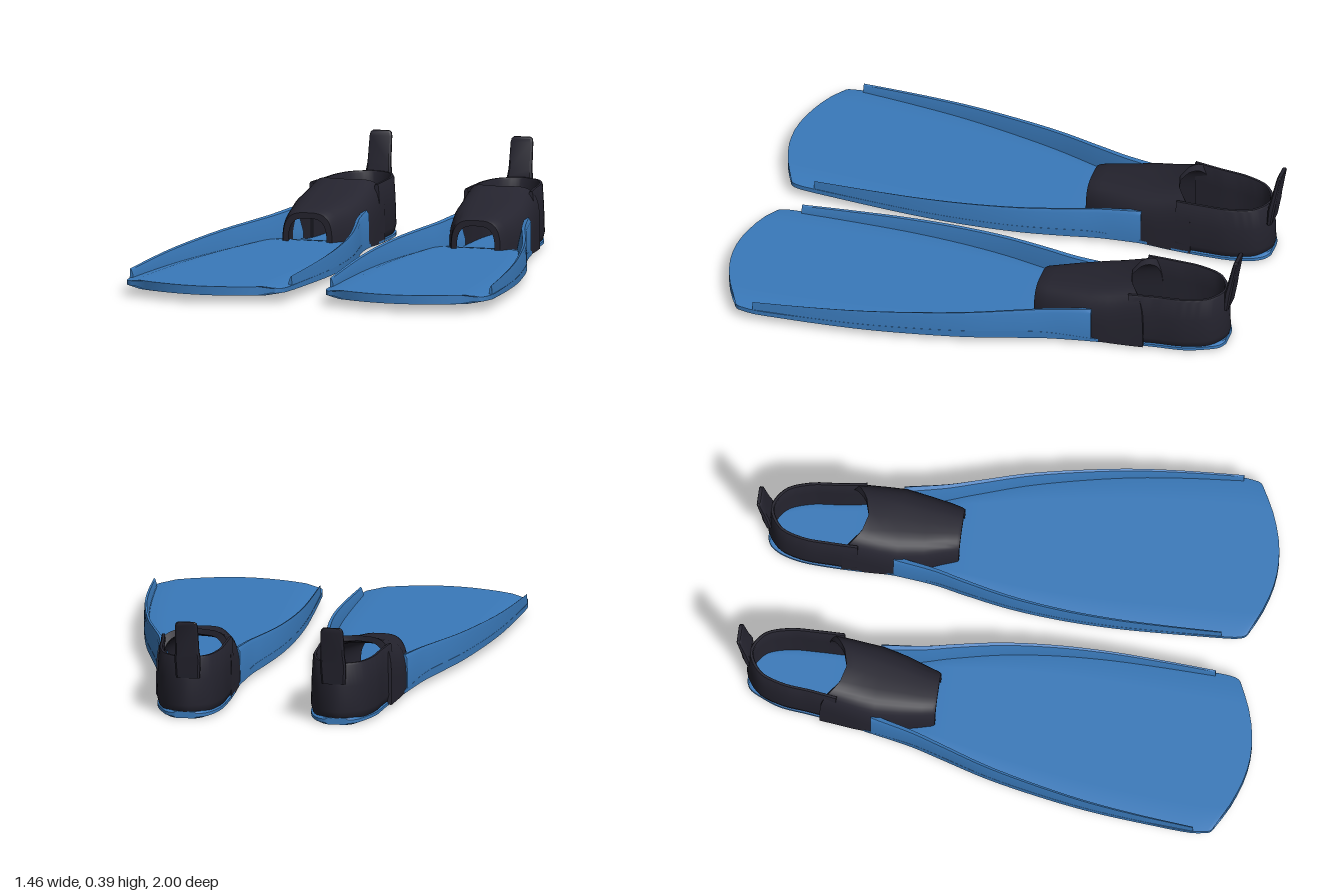
import * as THREE from 'three';
import { toCreasedNormals } from 'three/addons/utils/BufferGeometryUtils.js';

const blue = new THREE.MeshStandardMaterial({ color: 0x3a7abb });
blue.name = 'blue plastic';
const black = new THREE.MeshStandardMaterial({ color: 0x25242f });
black.name = 'black rubber';

const lerp = THREE.MathUtils.lerp;

// Capped loft through rings of [x, y, z]; side = -1 mirrors it in x.
// Rings run out along one face and back along the other, so caps are strips.
function loft(rings, side, crease = 0.6) {
  const n = rings[0].length, last = (rings.length - 1) * n, index = [];
  const pos = rings.flat().flatMap(([x, y, z]) => [x * side, y, z]);
  const quad = (a, b, c, d) => index.push(a, b, c, a, c, d);
  for (let j = 0; j < last; j += n) {
    for (let i = 0; i < n; i++) {
      const k = (i + 1) % n;
      quad(j + i, j + k, j + n + k, j + n + i);
    }
  }
  for (let i = 0; i < n / 2 - 1; i++) {
    quad(i + 1, i, n - 1 - i, n - 2 - i);
    quad(last + i, last + i + 1, last + n - 2 - i, last + n - 1 - i);
  }
  // Turn the faces outward
  const p = (i) => new THREE.Vector3().fromArray(pos, i * 3);
  let volume = 0;
  for (let i = 0; i < index.length; i += 3) {
    volume += p(index[i]).dot(p(index[i + 1]).cross(p(index[i + 2])));
  }
  if (volume < 0) index.reverse();
  const geo = new THREE.BufferGeometry();
  geo.setAttribute('position', new THREE.Float32BufferAttribute(pos, 3));
  geo.setIndex(index);
  return toCreasedNormals(geo, crease);
}

// Smooth curve through triples
const spline = (pts, count) =>
  new THREE.CatmullRomCurve3(pts.map((q) => new THREE.Vector3(...q))).getPoints(count);

// Plan outline: inner x, outer x, z
const heelPlan = [
  [0.25, 0.34, -0.955], [0.222, 0.368, -0.94], [0.195, 0.392, -0.9],
  [0.173, 0.424, -0.82], [0.165, 0.44, -0.7], [0.164, 0.458, -0.58],
];
const sidePlan = [
  [0.165, 0.485, -0.46], [0.146, 0.519, -0.3], [0.12, 0.555, -0.18], [0.086, 0.61, 0],
  [0.066, 0.655, 0.2], [0.06, 0.69, 0.4], [0.065, 0.712, 0.6], [0.075, 0.728, 0.82],
];
const tipPlan = [[0.08, 0.723, 0.87], [0.088, 0.717, 0.895], [0.102, 0.703, 0.908], [0.125, 0.68, 0.913]];

const bottomY = (z) => 0.017 * (z + 0.957);
const topY = (z) => lerp(0.026, 0.066, THREE.MathUtils.smoothstep(z, -0.6, -0.2));

// Sole and blade in one plate, with a bowed front edge
function blade(side) {
  const rings = spline([...heelPlan, ...sidePlan, ...tipPlan], 72).map(({ x: a, y: b, z }) => {
    const bow = THREE.MathUtils.smoothstep(z, 0.6, 0.913);
    const lo = bottomY(z), hi = topY(z), edge = 0.25 * (hi - lo);
    const row = (dir) => Array.from({ length: 13 }, (_, i) => {
      const u = dir * (i / 6 - 1), end = i === 0 || i === 12;
      const inset = end ? 0 : 0.008 * (Math.abs(u) > 0.8 ? 0.4 : 0);
      const y = dir > 0 ? hi - (end ? edge : 0) : lo + (end ? edge : 0);
      const x = lerp(a, b, (u + 1) / 2) - Math.sign(u) * inset;
      return [x, y, z + bow * (0.085 * (1 - u * u) - 0.012 * u)];
    });
    return [...row(1), ...row(-1)];
  });
  return loft(rings, side);
}

// Stiffening rail along one edge, tapering to the front
function rail(side, outer) {
  const rings = spline(sidePlan, 40).map(({ x: a, y: b, z }) => {
    const t = (z + 0.46) / 1.28, top = lerp(0.161, 0.093, t), w = lerp(0.055, 0.014, Math.sqrt(t));
    const edge = outer ? b : a, inward = outer ? -1 : 1;
    return [
      [edge, bottomY(z) + 0.008], [edge + inward * 0.002, top - 0.014],
      [edge + inward * 0.2 * w, top], [edge + inward * 0.55 * w, top - 0.004],
      [edge + inward * w, 0.07], [edge + inward * w, 0.04],
    ].map(([x, y]) => [x, y, z]);
  });
  return loft(rings, side, 0.5);
}

// Wall that wraps round the heel
function heelCup(side) {
  const path = spline([
    [0.456, 0, -0.6], [0.441, 0, -0.7], [0.426, 0, -0.82], [0.385, 0, -0.915], [0.295, 0, -0.962],
    [0.208, 0, -0.915], [0.172, 0, -0.82], [0.165, 0, -0.7], [0.164, 0, -0.6],
  ], 48);
  const profile = [
    [0.018, 0.012], [0.006, 0.025], [0, 0.05], [0.003, 0.15], [0.008, 0.232],
    [0.012, 0.24], [0.021, 0.24], [0.024, 0.232], [0.022, 0.15], [0.022, 0.05], [0.022, 0.025], [0.022, 0.012],
  ];
  const rings = path.map((q, i) => {
    const d = path[Math.min(i + 1, 48)].clone().sub(path[Math.max(i - 1, 0)]).normalize();
    return profile.map(([inset, y]) => [q.x + d.z * inset, y, q.z - d.x * inset]);
  });
  return loft(rings, side);
}

// Arched instep, open at the toes: z, inner x, outer x, top y, base y, squareness
const instepStations = [
  [-0.575, 0.164, 0.458, 0.26, 0.012, 5], [-0.55, 0.164, 0.464, 0.25, 0.012, 4.6],
  [-0.5, 0.164, 0.475, 0.234, 0.015, 4], [-0.45, 0.167, 0.482, 0.222, 0.02, 3.6],
  [-0.35, 0.19, 0.468, 0.204, 0.03, 3.4], [-0.27, 0.22, 0.452, 0.191, 0.045, 3.3],
  [-0.23, 0.233, 0.442, 0.184, 0.05, 3.2], [-0.218, 0.239, 0.436, 0.178, 0.05, 3.2],
];
function instep(side) {
  const rings = instepStations.map(([z, a, b, top, base, n], j) => {
    const skew = 0.085 * Math.max(0, 1 - j / 3);
    const arch = (wall) => Array.from({ length: 25 }, (_, i) => {
      const c = Math.cos((i / 24) * Math.PI), s = Math.max(0, Math.sin((i / 24) * Math.PI));
      const u = Math.sign(c) * Math.abs(c) ** (2 / n);
      return [
        (a + b) / 2 + u * ((b - a) / 2 - wall),
        base + (top - wall - base) * s ** (2 / n),
        z - skew * u * u,
      ];
    });
    return [...arch(0), ...arch(0.022).reverse()];
  });
  return loft(rings, side);
}

// Upright pull tab at the heel: y, z, half width, half thickness
function pullTab(side) {
  const rings = [
    [0.16, -0.952, 0.046, 0.01], [0.24, -0.962, 0.05, 0.014], [0.27, -0.968, 0.046, 0.012],
    [0.37, -0.988, 0.044, 0.009], [0.383, -0.991, 0.041, 0.009], [0.39, -0.993, 0.033, 0.006],
  ].map(([y, z, w, t]) => {
    const row = [[-w, 0.5 * t], [-0.85 * w, t], [0.85 * w, t], [w, 0.5 * t]];
    return [...row, ...row.map(([x, d]) => [x, -d]).reverse()].map(([x, d]) => [0.283 + x, y, z + d]);
  });
  return loft(rings, side);
}

export function createModel() {
  const model = new THREE.Group();
  model.name = 'swimFins';
  for (const side of [1, -1]) {
    const fin = new THREE.Group();
    fin.name = side > 0 ? 'leftFin' : 'rightFin';
    const add = (name, geometry, material) => {
      const mesh = new THREE.Mesh(geometry, material);
      mesh.name = name;
      fin.add(mesh);
    };
    add('bladeAndSole', blade(side), blue);
    add('outerRail', rail(side, true), blue);
    add('innerRail', rail(side, false), blue);
    add('heelCup', heelCup(side), black);
    add('instep', instep(side), black);
    add('pullTab', pullTab(side), black);
    model.add(fin);
  }
  return model;
}
